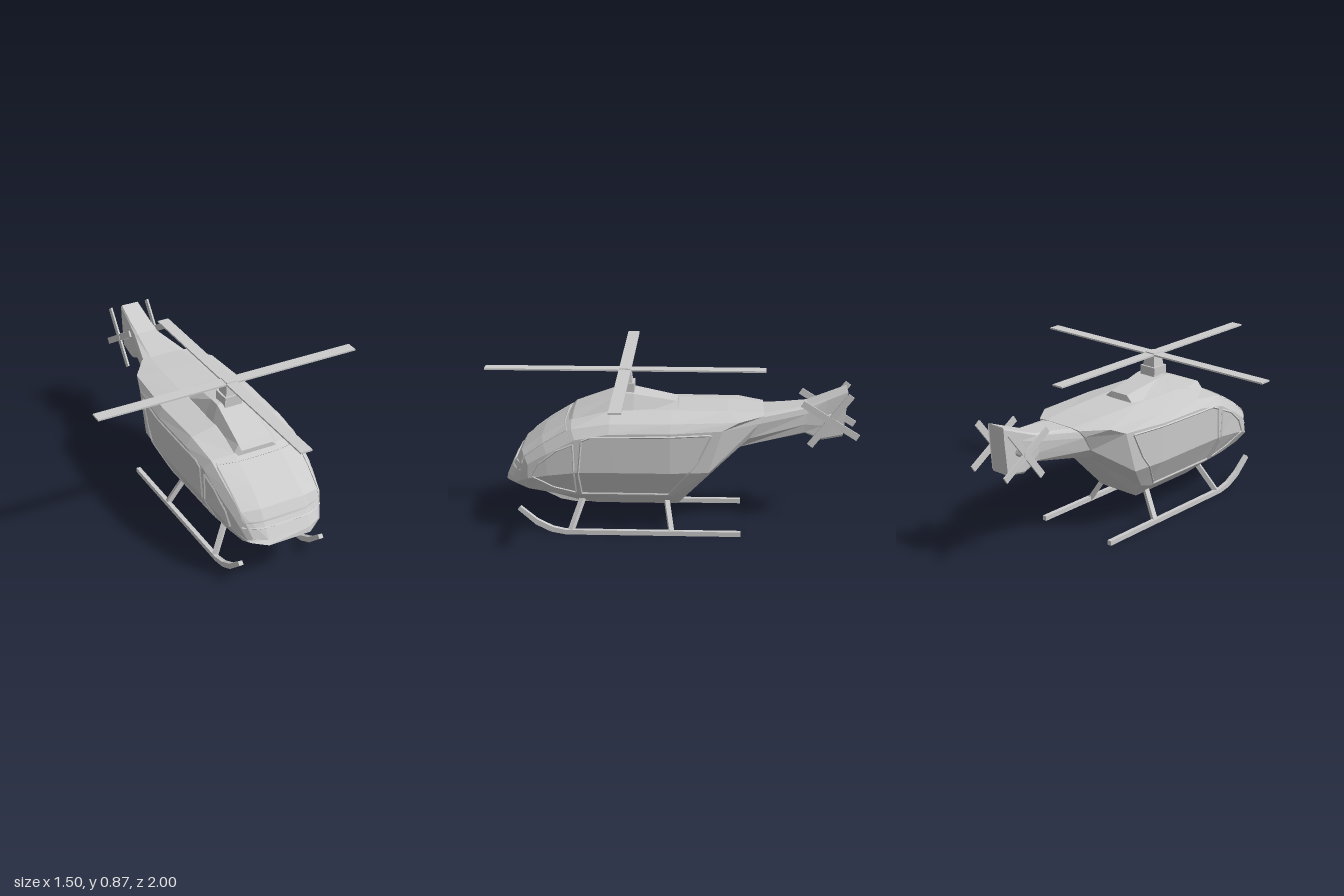
import * as THREE from 'three';

const mat = new THREE.MeshStandardMaterial({ color: 0xcccccc, flatShading: true, side: THREE.DoubleSide });

function add(group, name, geo) {
  const mesh = new THREE.Mesh(geo, mat);
  mesh.name = name;
  group.add(mesh);
  return mesh;
}

// Skin a row of cross-sections (nose to tail); each lists its left half from top to bottom.
function loft(sections) {
  const rings = sections.map(s => [...s, ...s.map(([x, y, z]) => [-x, y, z]).reverse()]);
  const n = rings[0].length, pos = [];
  for (let k = 0; k < rings.length - 1; k++) {
    const a = rings[k], b = rings[k + 1];
    for (let i = 0; i < n; i++) {
      const j = (i + 1) % n;
      pos.push(...a[i], ...a[j], ...b[i], ...a[j], ...b[j], ...b[i]);
    }
  }
  const f = rings[0], r = rings[rings.length - 1];
  for (let i = 1; i < n - 1; i++) pos.push(...f[0], ...f[i + 1], ...f[i], ...r[0], ...r[i], ...r[i + 1]);
  const geo = new THREE.BufferGeometry();
  geo.setAttribute('position', new THREE.Float32BufferAttribute(pos, 3));
  geo.computeVertexNormals();
  return geo;
}

// Square bar between two points
function bar(group, name, a, b, w, h = w) {
  const p = new THREE.Vector3(...a), q = new THREE.Vector3(...b);
  const mesh = add(group, name, new THREE.BoxGeometry(w, h, p.distanceTo(q)));
  mesh.position.copy(p).add(q).multiplyScalar(0.5);
  mesh.lookAt(q);
  return mesh;
}

// Thin trim that follows the hull, cast from the side or the front
function trim(group, name, hull, corners, fromFront, closed) {
  const ray = new THREE.Raycaster(), pts = [];
  const count = closed ? corners.length : corners.length - 1;
  for (let i = 0; i < count; i++) {
    const [u0, y0] = corners[i], [u1, y1] = corners[(i + 1) % corners.length];
    for (let k = 0; k < 10 + (!closed && i === count - 1 ? 1 : 0); k++) {
      const u = u0 + (u1 - u0) * k / 10, y = y0 + (y1 - y0) * k / 10;
      if (fromFront) ray.set(new THREE.Vector3(u, y, 2), new THREE.Vector3(0, 0, -1));
      else ray.set(new THREE.Vector3(2, y, u), new THREE.Vector3(-1, 0, 0));
      const hit = ray.intersectObject(hull)[0];
      if (hit) pts.push(hit.point);
    }
  }
  const curve = new THREE.CatmullRomCurve3(pts, closed, 'catmullrom', 0);
  return add(group, name, new THREE.TubeGeometry(curve, pts.length * 2, 0.006, 4, closed));
}

export function createModel() {
  const model = new THREE.Group();
  model.name = 'helicopter';

  // Cabin
  const hull = add(model, 'cabin', loft([
    [[.12, .3, .88], [.19, .305, .845], [.21, .295, .825], [.212, .285, .825], [.19, .275, .835], [.12, .27, .885]],
    [[.125, .44, .8], [.225, .435, .775], [.25, .4, .755], [.25, .32, .755], [.2, .245, .76], [.12, .225, .77]],
    [[.12, .52, .69], [.24, .51, .67], [.27, .465, .65], [.27, .345, .65], [.2, .22, .62], [.12, .185, .62]],
    [[.12, .61, .53], [.25, .6, .52], [.285, .55, .5], [.28, .365, .5], [.2, .21, .48], [.125, .15, .48]],
    [[.12, .66, .32], [.255, .63, .32], [.29, .585, .32], [.285, .37, .3], [.2, .21, .28], [.125, .14, .4]],
    [[.12, .665, 0], [.26, .635, 0], [.29, .59, 0], [.285, .37, 0], [.2, .21, 0], [.125, .14, -.035]],
    [[.11, .66, -.3], [.235, .64, -.36], [.262, .6, -.27], [.265, .37, -.2], [.2, .235, -.08], [.125, .15, -.045]],
    [[.09, .65, -.49], [.14, .645, -.49], [.155, .61, -.465], [.145, .52, -.41], [.115, .46, -.36], [.08, .445, -.35]]
  ]));
  hull.updateMatrixWorld(true);

  // Tail boom widening into the fin
  add(model, 'tailBoom', loft([
    [[.09, .645, -.47], [.135, .635, -.47], [.145, .6, -.45], [.14, .52, -.41], [.11, .46, -.35], [.075, .447, -.34]],
    [[.055, .68, -.72], [.07, .67, -.72], [.075, .64, -.72], [.075, .58, -.71], [.065, .535, -.71], [.05, .525, -.71]],
    [[.055, .72, -.82], [.062, .71, -.82], [.062, .67, -.82], [.062, .57, -.8], [.06, .5, -.8], [.05, .487, -.8]],
    [[.05, .765, -.93], [.055, .755, -.932], [.055, .7, -.93], [.055, .6, -.92], [.055, .52, -.913], [.05, .508, -.91]]
  ]));

  // Engine cowling on the roof
  add(model, 'engineCowling', loft([
    [[.09, .625, .545], [.13, .58, .545]],
    [[.095, .65, .52], [.13, .6, .525]],
    [[.08, .745, .27], [.13, .63, .3]],
    [[.075, .74, .2], [.13, .63, .2]],
    [[.055, .697, -.03], [.125, .64, -.03]],
    [[.055, .65, -.04], [.125, .64, -.04]]
  ]));

  // Window outlines on both sides
  const door = [[.465, .545], [.42, .565], [-.215, .578], [-.15, .44], [.01, .225], [.475, .225], [.485, .35]];
  const quarter = [[.73, .335], [.69, .41], [.6, .485], [.51, .525], [.505, .23], [.62, .265]];
  for (const [name, outline] of [['doorFrame', door], ['quarterWindowFrame', quarter]]) {
    const left = trim(model, name + 'Left', hull, outline, false, true);
    const right = add(model, name + 'Right', left.geometry);
    right.scale.x = -1;
  }

  // Windshield frame and the lip below it
  trim(model, 'windshieldFrame', hull, [[-.235, .588], [.235, .588], [.22, .385], [-.22, .385]], true, true);
  trim(model, 'noseLip', hull, [[-.225, .355], [.225, .355]], true, false);

  // Main rotor
  const rotor = new THREE.Group();
  rotor.name = 'mainRotor';
  rotor.position.set(0, 0, .25);
  model.add(rotor);
  add(rotor, 'mastBase', new THREE.BoxGeometry(.1, .07, .1)).position.y = .755;
  const mast = add(rotor, 'mast', new THREE.CylinderGeometry(.043, .056, .08, 4));
  mast.rotation.y = Math.PI / 4;
  mast.position.y = .825;
  add(rotor, 'bladesAcross', new THREE.BoxGeometry(1.5, .009, .065)).position.y = .855;
  add(rotor, 'bladesAlong', new THREE.BoxGeometry(.065, .009, 1.5)).position.y = .855;

  for (const s of [1, -1]) {
    const side = s > 0 ? 'Left' : 'Right';

    // Tail rotor
    const tail = new THREE.Group();
    tail.name = 'tailRotor' + side;
    tail.position.set(s * .115, .615, -.84);
    model.add(tail);
    for (const angle of [-.56, .92]) {
      add(tail, 'tailBlade', new THREE.BoxGeometry(.01, .036, .35)).rotation.x = angle;
    }
    const hub = add(tail, 'tailHub', new THREE.CylinderGeometry(.022, .022, .075, 8));
    hub.rotation.z = Math.PI / 2;
    hub.position.x = -s * .03;

    // Skid with upturned front, swept as a flat profile
    const skid = new THREE.Shape([
      [-.375, 0], [.56, 0], [.64, .015], [.72, .055], [.815, .14],
      [.8, .158], [.71, .083], [.63, .042], [.56, .026], [-.375, .026]
    ].map(p => new THREE.Vector2(...p)));
    const geo = new THREE.ExtrudeGeometry(skid, { depth: .024, bevelEnabled: false });
    geo.rotateY(-Math.PI / 2);
    add(model, 'skid' + side, geo).position.x = s * .237 + .012;

    // Skid struts
    bar(model, 'frontStrut' + side, [s * .235, .015, .535], [s * .14, .175, .475], .026);
    bar(model, 'rearStrut' + side, [s * .235, .015, -.005], [s * .14, .175, .025], .026);
  }
  return model;
}
